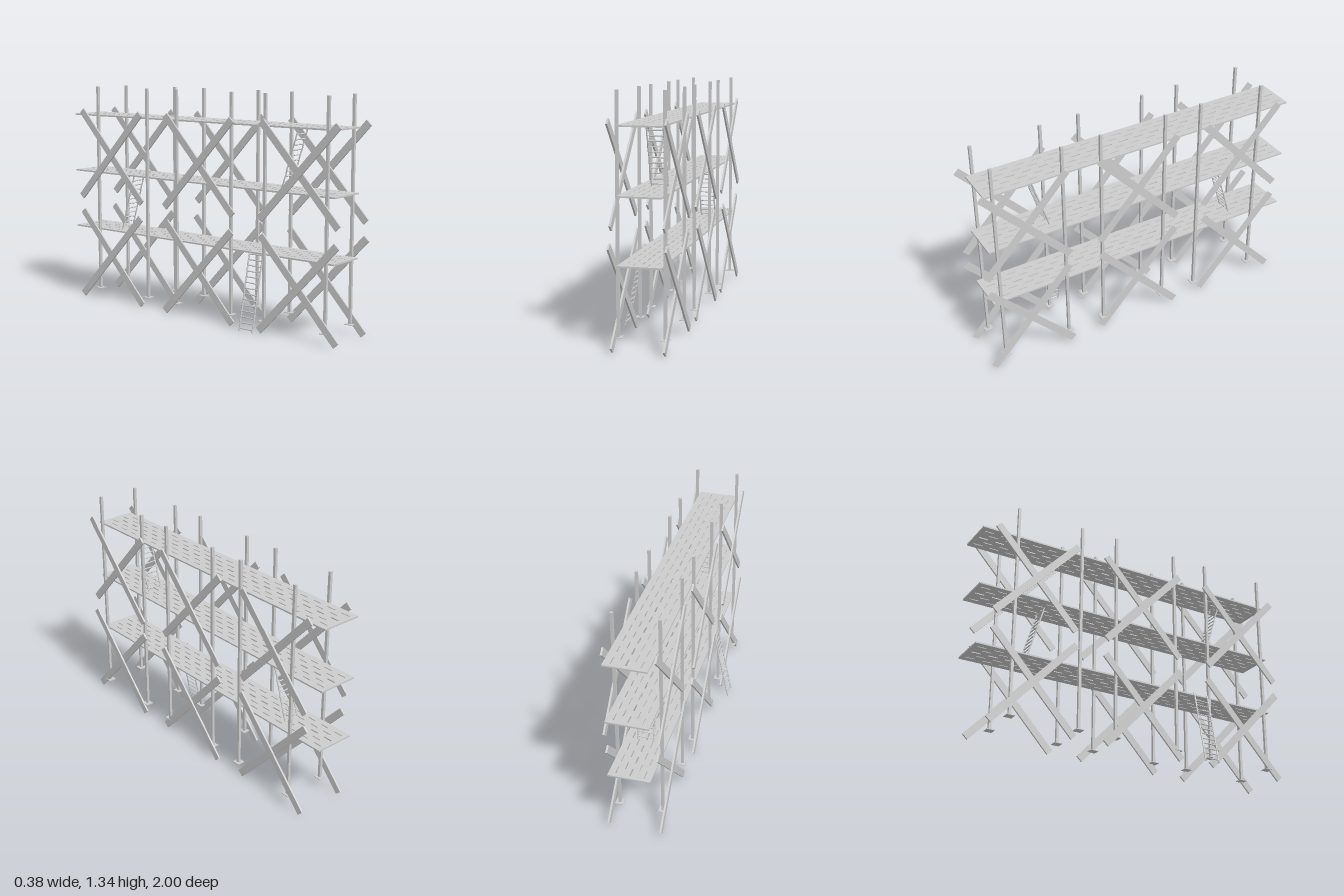
import * as THREE from 'three';

const material = new THREE.MeshStandardMaterial({ color: 0xcccccc, flatShading: true });
const CENTER_X = 0.034;          // middle of the walkway
const DECK_LEVELS = [0.446, 0.805, 1.162];
const BACK = -1, FRONT = 0.953;  // deck ends

function add(parent, geometry, name, x = 0, y = 0, z = 0) {
  const mesh = new THREE.Mesh(geometry, material);
  mesh.name = name;
  mesh.position.set(x, y, z);
  parent.add(mesh);
  return mesh;
}

// Six-plank deck with staggered slots along each seam
function deckGeometry() {
  const half = 0.1185, plank = 2 * half / 6, thick = 0.009;
  const shape = new THREE.Shape();
  shape.moveTo(-half, BACK).lineTo(half, BACK).lineTo(half, FRONT).lineTo(-half, FRONT).closePath();
  for (let seam = 1; seam < 6; seam++) {
    const x = -half + seam * plank, w = seam === 3 ? 0.0045 : 0.003;
    const offset = seam % 2 ? 0.025 : 0.07;
    for (let z = BACK + offset; z + 0.06 < FRONT; z += 0.1) {
      const slot = new THREE.Path();
      slot.moveTo(x - w, z).lineTo(x - w, z + 0.055).lineTo(x + w, z + 0.055).lineTo(x + w, z).closePath();
      shape.holes.push(slot);
    }
  }
  const geometry = new THREE.ExtrudeGeometry(shape, { depth: thick, bevelEnabled: false });
  return geometry.rotateX(Math.PI / 2).translate(0, thick / 2, 0);
}

// Slightly crooked pole between two points
function poleGeometry(a, b, radius, wobble, seed, steps) {
  const points = [];
  for (let i = 0; i <= steps; i++) {
    const p = a.clone().lerp(b, i / steps);
    p.x += wobble * Math.sin(i * 2.3 + seed);
    p.z += wobble * 0.5 * Math.cos(i * 1.7 + seed * 2);
    points.push(p);
  }
  const curve = new THREE.CatmullRomCurve3(points);
  const pole = new THREE.TubeGeometry(curve, steps * 2, radius, 6, false);
  return pole;
}

// Rustic ladder, rising along local +y and facing local z
function makeLadder(bottom, top, turned, rungs, name) {
  const ladder = new THREE.Group();
  ladder.name = name;
  const length = bottom.distanceTo(top), halfWidth = 0.046;
  for (const side of [-1, 1]) {
    const a = new THREE.Vector3(side * halfWidth, 0, 0);
    const b = new THREE.Vector3(side * halfWidth, length, 0);
    add(ladder, poleGeometry(a, b, 0.0045, 0.0012, side + 2, 12), 'ladderRail');
    for (const end of [a, b]) {
      add(ladder, new THREE.CylinderGeometry(0.005, 0.005, 0.004, 6), 'railEnd', end.x, end.y, 0);
    }
  }
  for (let i = 0; i < rungs; i++) {
    const y = length * (i + 0.5) / rungs;
    const tilt = 0.0015 * Math.sin(i * 2.1);
    const a = new THREE.Vector3(-halfWidth - 0.003, y - tilt, 0);
    const b = new THREE.Vector3(halfWidth + 0.003, y + tilt, 0);
    add(ladder, poleGeometry(a, b, 0.0038, 0.0005, i, 2), 'ladderRung');
  }
  // Basis: width across, length along the slope
  const up = top.clone().sub(bottom).normalize();
  const across = turned ? new THREE.Vector3(0, 0, 1) : new THREE.Vector3(1, 0, 0);
  const normal = across.clone().cross(up);
  ladder.quaternion.setFromRotationMatrix(new THREE.Matrix4().makeBasis(across, up, normal));
  ladder.position.copy(bottom);
  return ladder;
}

export function createModel() {
  const model = new THREE.Group();
  model.name = 'scaffold';

  // Walkway decks
  const deck = deckGeometry();
  DECK_LEVELS.forEach((y) => add(model, deck, 'deck', CENTER_X - 0.002, y, 0));

  // Upright posts on foot plates
  const post = new THREE.BoxGeometry(0.016, 1.274, 0.016);
  const plate = new THREE.BoxGeometry(0.047, 0.004, 0.047);
  for (const side of [-1, 1]) {
    for (const z of [0.909, 0.5, 0.265, -0.144, -0.377, -0.789]) {
      const x = CENTER_X + side * 0.126;
      add(model, post, 'post', x, 0.704, z);
      add(model, plate, 'footPlate', x, 0.067, z);
    }
  }

  // Crossed braces, two tiers on three bays, on both sides
  const brace = new THREE.BoxGeometry(0.0105, 0.74, 0.042);
  const angle = THREE.MathUtils.degToRad(43);
  for (const side of [-1, 1]) {
    for (const z of [0.736, 0.033, -0.666]) {
      for (const y of [0.285, 0.918]) {
        for (const lean of [-1, 1]) {
          const x = CENTER_X + side * (0.1455 + lean * 0.00525);
          add(model, brace, 'crossBrace', x, y, z).rotation.x = lean * angle;
        }
      }
    }
  }

  // Ladders: one from the ground, one between each pair of decks
  const v = (x, y, z) => new THREE.Vector3(x, y, z);
  model.add(makeLadder(v(-0.184, 0.012, 0.444), v(-0.089, 0.455, 0.444), true, 14, 'groundLadder'));
  model.add(makeLadder(v(0.038, 0.45, -0.672), v(0.038, 0.805, -0.565), false, 12, 'middleLadder'));
  model.add(makeLadder(v(0.038, 0.808, 0.554), v(0.038, 1.163, 0.665), false, 12, 'upperLadder'));

  return model;
}
